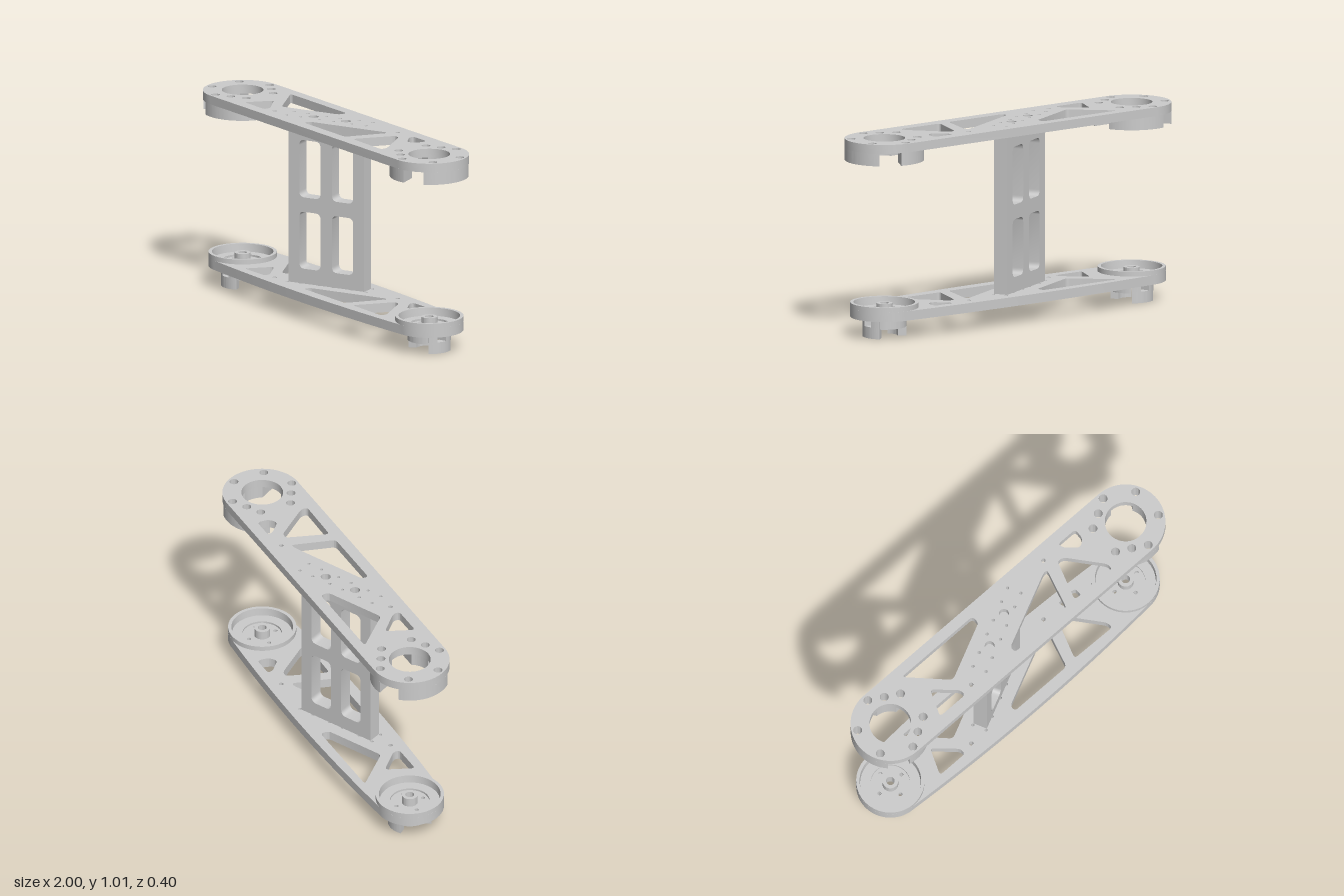
import * as THREE from 'three';
import { toCreasedNormals } from 'three/addons/utils/BufferGeometryUtils.js';

const material = new THREE.MeshStandardMaterial({ color: 0xcccccc });
const HUB_X = 0.8;
const rad = THREE.MathUtils.degToRad;

function part(name, geometry) {
  const mesh = new THREE.Mesh(toCreasedNormals(geometry, 0.5), material);
  mesh.name = name;
  return mesh;
}

// Horizontal slab: shape coordinates are (x, z)
function slab(name, shape, y0, y1) {
  const g = new THREE.ExtrudeGeometry(shape, { depth: y1 - y0, bevelEnabled: false, curveSegments: 20 });
  g.rotateX(Math.PI / 2).translate(0, y1, 0);
  return part(name, g);
}

function circle(x, z, r) {
  return new THREE.Path().absarc(x, z, r, 0, Math.PI * 2, true);
}

// Closed polygon with rounded corners
function roundedPolygon(points, r) {
  const path = new THREE.Path();
  const pts = points.map(([x, z]) => new THREE.Vector2(x, z));
  pts.forEach((p, i) => {
    const prev = pts[(i + pts.length - 1) % pts.length];
    const next = pts[(i + 1) % pts.length];
    const toward = (q) => p.clone().lerp(q, Math.min(0.45, r / p.distanceTo(q)));
    const a = toward(prev), b = toward(next);
    if (i === 0) path.moveTo(a.x, a.y);
    else path.lineTo(a.x, a.y);
    path.quadraticCurveTo(p.x, p.y, b.x, b.y);
  });
  path.closePath();
  return path;
}

// Arc block between two radii; the inner arc may span a smaller angle
function sector(r0, r1, mid, halfOuter, halfInner = halfOuter) {
  const s = new THREE.Shape();
  s.absarc(0, 0, r1, rad(mid - halfOuter), rad(mid + halfOuter), false);
  s.absarc(0, 0, r0, rad(mid + halfInner), rad(mid - halfInner), true);
  s.closePath();
  return s;
}

// Bolt holes of an upper hub as [angle from outboard, radius]
const BOLTS = [[30, 0.168], [90, 0.168], [150, 0.168], [-30, 0.168], [-90, 0.168], [-150, 0.168],
  [120, 0.145], [-120, 0.145]];
function boltHole([angle, r], cx = 0, side = 1) {
  return circle(cx + side * r * Math.cos(rad(angle)), r * Math.sin(rad(angle)), 0.022);
}

// Lightening cut-outs and small holes shared by both plates
const WALL = { x: -0.067, z: -0.01, angle: rad(25), length: 0.435, thick: 0.073 };
const TRUSS = [
  [[-0.59, -0.145], [-0.11, -0.145], [-0.11, -0.1], [-0.41, 0.04]],
  [[-0.53, 0], [-0.59, 0.14], [-0.42, 0.14], [-0.42, 0.105]],
  [[0.31, -0.075], [0.335, -0.075], [0.27, 0.14], [-0.08, 0.14], [-0.08, 0.105]],
  [[0.405, -0.075], [0.44, -0.07], [0.58, 0.105], [0.58, 0.14], [0.33, 0.135]],
  [[0.47, -0.14], [0.585, -0.14], [0.58, -0.08], [0.54, -0.05], [0.475, -0.11]],
];
function cutPlate(shape) {
  TRUSS.forEach((p) => shape.holes.push(roundedPolygon(p, 0.022)));
  shape.holes.push(circle(0.355, -0.125, 0.011), circle(-0.36, 0.12, 0.011));
  const onWall = (u, v, r) => circle(
    WALL.x + u * Math.cos(WALL.angle) + v * Math.sin(WALL.angle),
    WALL.z - u * Math.sin(WALL.angle) + v * Math.cos(WALL.angle), r);
  for (const u of [-0.093, 0.093]) shape.holes.push(onWall(u, 0, 0.025));
  for (const u of [-0.187, 0, 0.187])
    for (const du of [-0.04, 0.04])
      for (const v of [-0.036, 0.036]) shape.holes.push(onWall(u + du, v, 0.008));
}

function upperPlate() {
  const s = new THREE.Shape();
  s.absarc(HUB_X, 0, 0.2, -Math.PI / 2, Math.PI / 2, false);
  s.absarc(-HUB_X, 0, 0.2, Math.PI / 2, Math.PI * 1.5, false);
  s.closePath();
  cutPlate(s);
  for (const side of [-1, 1]) {
    s.holes.push(circle(side * HUB_X, 0, 0.105));
    BOLTS.forEach((b) => s.holes.push(boltHole(b, side * HUB_X, side)));
  }
  return slab('upperPlate', s, 0.965, 1.01);
}

// Slotted ring under each end of the upper plate
function upperHub() {
  const hub = new THREE.Group();
  hub.name = 'upperHub';
  for (const mid of [0, 120, -120]) {
    const s = sector(0.105, 0.2, mid, 44, 28);
    BOLTS.forEach((b) => {
      const gap = Math.abs(((b[0] - mid + 540) % 360) - 180);
      if (gap < 40) s.holes.push(boltHole(b));
    });
    hub.add(slab('hubSector', s, 0.9, 0.965));
  }
  return hub;
}

// Lower plate bulges towards the middle
function lowerPlate() {
  const s = new THREE.Shape();
  s.absarc(HUB_X, 0, 0.172, -Math.PI / 2, Math.PI / 2, false);
  s.quadraticCurveTo(0, 0.228, -HUB_X, 0.172);
  s.absarc(-HUB_X, 0, 0.172, Math.PI / 2, Math.PI * 1.5, false);
  s.quadraticCurveTo(0, -0.228, HUB_X, -0.172);
  cutPlate(s);
  for (const side of [-1, 1]) s.holes.push(circle(side * HUB_X, 0, 0.16));
  return slab('lowerPlate', s, 0.1, 0.148);
}

function lathe(name, profile) {
  return part(name, new THREE.LatheGeometry(profile.map(([r, y]) => new THREE.Vector2(r, y)), 40));
}

// Shallow cup with a stepped floor and a centre boss
function bearingCup() {
  const cup = new THREE.Group();
  cup.name = 'bearingCup';
  cup.add(lathe('cupRim', [[0.1, 0.1], [0.172, 0.1], [0.172, 0.173], [0.155, 0.173],
    [0.152, 0.132], [0.1, 0.132], [0.1, 0.1]]));
  cup.add(lathe('cupBoss', [[0.022, 0.1], [0.04, 0.1], [0.04, 0.168], [0.022, 0.168], [0.022, 0.1]]));
  const floor = new THREE.Shape().absarc(0, 0, 0.101, 0, Math.PI * 2, false);
  floor.holes.push(circle(0, 0, 0.024));
  for (let i = 0; i < 4; i++) {
    const a = i * Math.PI / 2;
    floor.holes.push(circle(0.075 * Math.cos(a), 0.075 * Math.sin(a), 0.01));
  }
  cup.add(slab('cupFloor', floor, 0.101, 0.122));
  return cup;
}

// Coupling jaw below each cup: two long notched legs, two short lugs
function couplingJaw() {
  const jaw = new THREE.Group();
  jaw.name = 'couplingJaw';
  for (const mid of [0, 180]) {
    jaw.add(slab('jawLeg', sector(0.068, 0.11, mid, 38), 0, 0.058));
    for (const d of [-26, 26]) jaw.add(slab('jawLegRoot', sector(0.055, 0.11, mid + d, 12), 0.058, 0.1));
    const lug = sector(0.05, 0.11, mid + 90, 50);
    lug.holes.push(circle(0, mid ? -0.08 : 0.08, 0.014));
    jaw.add(slab('jawLug', lug, 0.05, 0.1));
  }
  return jaw;
}

// Upright web with four rounded windows
function uprightWall() {
  const y0 = 0.146, y1 = 0.967, h = WALL.length / 2;
  const s = new THREE.Shape([[-h, y0], [h, y0], [h, y1], [-h, y1]].map((p) => new THREE.Vector2(...p)));
  for (const [a, b] of [[-0.155, -0.033], [0.033, 0.155]])
    for (const [c, d] of [[0.225, 0.52], [0.595, 0.892]])
      s.holes.push(roundedPolygon([[a, c], [b, c], [b, d], [a, d]], 0.03));
  const g = new THREE.ExtrudeGeometry(s, { depth: WALL.thick, bevelEnabled: false, curveSegments: 6 });
  g.translate(0, 0, -WALL.thick / 2);
  const wall = part('uprightWall', g);
  wall.position.set(WALL.x, 0, WALL.z);
  wall.rotation.y = WALL.angle;
  return wall;
}

export function createModel() {
  const model = new THREE.Group();
  model.name = 'linkArm';
  model.add(upperPlate(), lowerPlate(), uprightWall());
  for (const side of [-1, 1]) {
    const hub = upperHub(), cup = bearingCup(), jaw = couplingJaw();
    for (const p of [hub, cup, jaw]) p.position.x = side * HUB_X;
    hub.rotation.y = side > 0 ? 0 : Math.PI;
    jaw.rotation.y = side > 0 ? 0 : Math.PI / 2;
    model.add(hub, cup, jaw);
  }
  return model;
}
